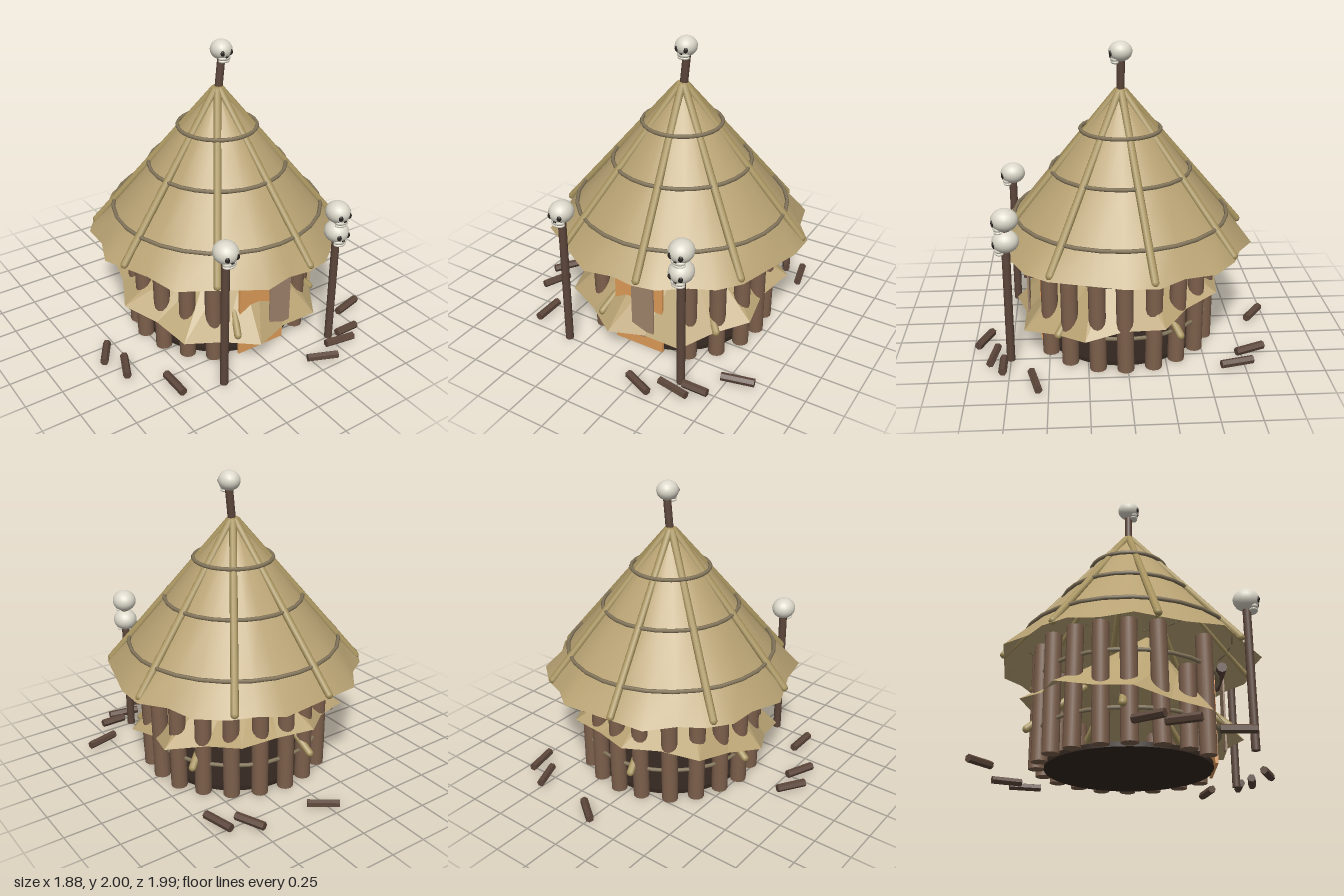
import * as THREE from 'three';

const CX = 0.08, CZ = 0.015; // hut axis
const mat = (color, flatShading = false, side = THREE.FrontSide) =>
  new THREE.MeshStandardMaterial({ color, flatShading, side, roughness: 0.9 });
const M = {
  thatch: mat(0xb8a273, false, THREE.DoubleSide),
  skirt: mat(0xb8a273, true, THREE.DoubleSide),
  rib: mat(0xa8945f),
  ring: mat(0x85775c),
  post: mat(0x7d604c),
  dark: mat(0x5c463a),
  log: mat(0x5c463a, true),
  floor: mat(0x33271f),
  door: mat(0xdf9c58),
  cloth: mat(0x9f836b, true, THREE.DoubleSide),
  bone: mat(0xdcd8ca),
  socket: mat(0x2b2521),
};
const UP = new THREE.Vector3(0, 1, 0);
const V = (x, y, z) => new THREE.Vector3(x, y, z);
const polar = (r, deg, y) => {
  const a = THREE.MathUtils.degToRad(deg);
  return V(CX + r * Math.cos(a), y, CZ + r * Math.sin(a));
};
let seed = 7;
const rnd = () => (seed = (seed * 16807) % 2147483647) / 2147483647;

function add(parent, name, geo, material) {
  const m = new THREE.Mesh(geo, material);
  m.name = name;
  parent.add(m);
  return m;
}
// Round bar between two points, with flat or rounded ends
function bar(parent, name, a, b, r, material, sides = 12, round = false) {
  const len = a.distanceTo(b);
  const geo = round ? new THREE.CapsuleGeometry(r, len, 5, sides) : new THREE.CylinderGeometry(r, r, len, sides);
  const m = add(parent, name, geo, material);
  m.position.copy(a).lerp(b, 0.5);
  m.quaternion.setFromUnitVectors(UP, b.clone().sub(a).normalize());
  return m;
}
function hoop(parent, name, r, y, tube) {
  const m = add(parent, name, new THREE.TorusGeometry(r, tube, 6, 28), M.ring);
  m.rotation.x = Math.PI / 2;
  m.position.set(CX, y, CZ);
}
// Surface through closed loops of equal length
function loft(loops) {
  const n = loops[0].length, idx = [];
  for (let j = 0; j < loops.length - 1; j++)
    for (let i = 0; i < n; i++) {
      const a = j * n + i, b = j * n + (i + 1) % n;
      idx.push(a, a + n, b, b, a + n, b + n);
    }
  const g = new THREE.BufferGeometry();
  g.setAttribute('position', new THREE.Float32BufferAttribute(loops.flat().flatMap(p => p.toArray()), 3));
  g.setIndex(idx);
  g.computeVertexNormals();
  return g;
}

function skull(parent, x, y, z, s) {
  const g = new THREE.Group();
  g.name = 'skull';
  const ball = (name, px, py, pz, sx, sy, sz, m) => {
    const b = add(g, name, new THREE.SphereGeometry(1, 20, 14), m);
    b.position.set(px, py, pz);
    b.scale.set(sx, sy, sz);
  };
  ball('cranium', 0, 0.12, 0, 1, 0.92, 1.08, M.bone);
  ball('upperJaw', 0, -0.55, 0.5, 0.62, 0.3, 0.42, M.bone);
  ball('lowerJaw', 0, -0.83, 0.48, 0.58, 0.2, 0.4, M.bone);
  for (const e of [-1, 1]) {
    ball('eyeSocket', e * 0.42, 0.02, 0.87, 0.23, 0.27, 0.16, M.socket);
    ball('nostril', e * 0.07, -0.36, 0.91, 0.06, 0.12, 0.08, M.socket);
  }
  g.position.set(x, y, z);
  g.scale.setScalar(s);
  parent.add(g);
}

export function createModel() {
  const root = new THREE.Group();
  root.name = 'hut';
  seed = 7;

  // Main roof: smooth cone running out to a ragged eave
  const eave = [[0.92, -0.17], [0.92, 0.03], [0.86, 0.24], [0.79, 0.49], [0.68, 0.63], [0.53, 0.7], [0.37, 0.82],
    [0.22, 0.85], [0.07, 0.83], [-0.12, 0.87], [-0.36, 0.72], [-0.61, 0.57], [-0.66, 0.34], [-0.79, 0.03],
    [-0.71, -0.17], [-0.7, -0.36], [-0.59, -0.51], [-0.45, -0.6], [-0.31, -0.77], [-0.1, -0.79], [0.28, -0.83],
    [0.42, -0.73], [0.58, -0.67], [0.75, -0.53], [0.8, -0.33]].reverse();
  const roofLoops = [[0.02, 1.68], [0.25, 1.42], [0.44, 1.175], [0.685, 0.88]].map(([r, y]) =>
    eave.map(([x, z]) => polar(r, THREE.MathUtils.radToDeg(Math.atan2(z - CZ, x - CX)), y)));
  roofLoops.push(eave.map(([x, z]) => V(x, 0.7, z)));
  add(root, 'roof', loft(roofLoops.map(l => l.slice().reverse()).reverse()), M.thatch);
  for (let i = 0; i < 8; i++)
    bar(root, 'roofRib', polar(0.025, i * 45 - 11, 1.675), polar(0.825, i * 45 - 11, 0.725), 0.025, M.rib, 10, true);
  for (const [r, y] of [[0.7, 0.88], [0.455, 1.175], [0.26, 1.435]]) hoop(root, 'roofHoop', r, y, 0.013);

  // Lower sagging thatch skirt, tipped forward
  const n = 18, tilt = 0.185, skirtLoops = [[], [], []];
  for (let i = 0; i < n; i++) {
    const a = (-i / n) * Math.PI * 2, r = 0.69 + (i % 2 ? 0.045 : -0.035) + (rnd() - 0.5) * 0.04;
    [[0.02, 0.62], [0.36, 0.29], [r, 0]].forEach(([q, y], k) =>
      skirtLoops[k].push(V(q * Math.cos(a), y, q * Math.sin(a))));
  }
  const skirt = add(root, 'thatchSkirt', loft(skirtLoops), M.skirt);
  skirt.rotation.x = tilt;
  skirt.position.set(CX - 0.01, 0.3, 0.03);
  for (let i = 0; i < 5; i++)
    bar(root, 'skirtRib', polar(0.3, 40 + i * 72, 0.53), polar(0.66, 40 + i * 72, 0.225), 0.025, M.rib, 10, true);

  // Ring of wall posts, open at the doorway, one snapped short
  for (let i = 0; i < 20; i++) {
    if (i >= 4 && i <= 6) continue;
    const a = i * 18, top = i === 8 ? 0.53 : 0.78;
    const r = 0.58 + (rnd() - 0.5) * 0.02;
    const lower = polar(r, a + (rnd() - 0.5) * 2, 0.01);
    const upper = polar(r + 0.005, a + (rnd() - 0.5) * 3, top);
    bar(root, i === 8 ? 'brokenPost' : 'wallPost', lower, upper, 0.054, M.post, 12);
  }
  for (const y of [0.59, 0.225]) hoop(root, 'wallHoop', 0.585, y, 0.013);

  // Floor
  const floor = add(root, 'floor', new THREE.CylinderGeometry(0.535, 0.535, 0.03, 40), M.floor);
  floor.position.set(CX, 0.02, CZ);

  // Doorway: panel, lintel log and torn hanging
  add(root, 'doorPanel', new THREE.BoxGeometry(0.36, 0.6, 0.02), M.door).position.set(0.075, 0.305, 0.55);
  bar(root, 'lintel', V(-0.11, 0.635, 0.61), V(0.26, 0.635, 0.61), 0.034, M.log, 8);
  const rag = new THREE.Shape([[0.075, 0.63], [0.08, 0.14], [0.12, 0.16], [0.165, 0.155], [0.24, 0.19], [0.24, 0.63]]
    .map(p => new THREE.Vector2(...p)));
  const cloth = add(root, 'doorHanging',
    new THREE.ExtrudeGeometry(rag, { depth: 0.012, bevelEnabled: false }), M.cloth);
  cloth.position.z = 0.632;

  // Skull poles
  bar(root, 'skullPole', V(-0.36, 0.01, 0.75), V(-0.36, 0.93, 0.75), 0.027, M.dark);
  bar(root, 'skullPole', V(0.51, 0.01, 0.75), V(0.51, 0.93, 0.75), 0.027, M.dark);
  bar(root, 'roofPole', V(0.08, 1.6, CZ), V(0.11, 1.9, CZ), 0.026, M.dark);
  skull(root, -0.36, 0.98, 0.75, 0.079);
  skull(root, 0.51, 0.98, 0.75, 0.079);
  skull(root, 0.51, 0.838, 0.75, 0.079);
  skull(root, 0.105, 1.928, 0.017, 0.07);

  // Logs scattered on the ground: x1, z1, x2, z2
  for (const [x1, z1, x2, z2] of [[-0.04, -0.98, 0.125, -0.86], [0.485, -0.9, 0.565, -0.71], [0.66, -0.8, 0.71, -0.59],
    [-0.81, 0.02, -0.92, 0.19], [-0.78, 0.2, -0.86, 0.39], [-0.645, 0.51, -0.645, 0.72], [0.72, 0.61, 0.93, 0.56],
    [0.21, 0.89, 0.4, 0.97], [0.55, 0.79, 0.72, 0.79], [0.41, 0.84, 0.62, 0.875]])
    bar(root, 'looseLog', V(x1, 0.05, z1), V(x2, 0.05, z2), 0.027, M.log, 6);

  return root;
}
